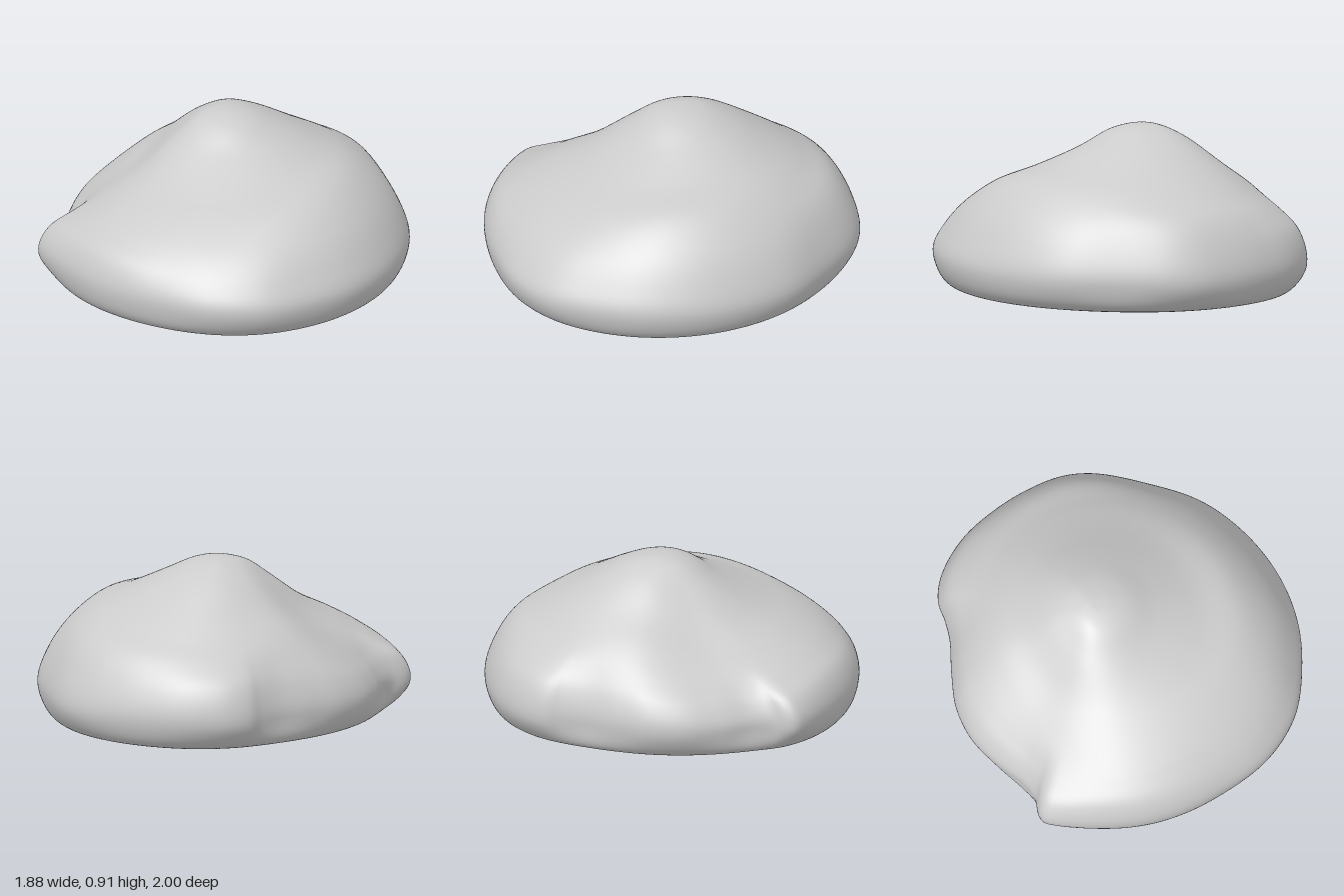
import * as THREE from 'three';

// Plan outline (x, z), running from +x towards +z
const OUTLINE = [
  [0.94, 0.08], [0.9, 0.35], [0.8, 0.6], [0.6, 0.8], [0.3, 0.935], [0.08, 0.99], [-0.12, 1], [-0.35, 0.965],
  [-0.58, 0.895], [-0.64, 0.86], [-0.655, 0.81], [-0.65, 0.73], [-0.69, 0.63], [-0.8, 0.49], [-0.9, 0.32],
  [-0.94, 0.13], [-0.92, -0.06], [-0.885, -0.25], [-0.885, -0.38], [-0.895, -0.47], [-0.85, -0.6],
  [-0.7, -0.77], [-0.5, -0.89], [-0.3, -0.965], [-0.1, -1], [0.08, -0.975], [0.35, -0.85], [0.6, -0.69],
  [0.78, -0.47], [0.9, -0.2],
];

// Height of the upper surface at each fraction of the radius, every 45 degrees
const FRACTIONS = [0.07, 0.16, 0.3, 0.5, 0.7, 0.85, 0.95, 1];
const HEIGHTS = [
  [0.905, 0.88, 0.805, 0.71, 0.64, 0.505, 0.35, 0.22],   // +x
  [0.903, 0.87, 0.77, 0.66, 0.56, 0.45, 0.33, 0.22],
  [0.903, 0.872, 0.775, 0.64, 0.54, 0.455, 0.375, 0.24], // +z
  [0.905, 0.88, 0.78, 0.61, 0.48, 0.38, 0.3, 0.21],
  [0.907, 0.885, 0.82, 0.69, 0.575, 0.46, 0.35, 0.22],   // -x
  [0.907, 0.89, 0.83, 0.71, 0.58, 0.475, 0.37, 0.22],
  [0.905, 0.885, 0.825, 0.715, 0.605, 0.51, 0.36, 0.21], // -z
  [0.905, 0.885, 0.825, 0.73, 0.635, 0.51, 0.36, 0.21],
];
// Rounded lower rim and nearly flat base: [fraction, height]
const BASE = [[0.98, 0.11], [0.935, 0.05], [0.86, 0.026], [0.6, 0.012], [0, 0]];
const PEAK = { x: -0.13, z: -0.04 };

// Periodic cubic blend between the eight height profiles
function heightAt(angle, k) {
  const t = ((angle / (Math.PI / 4)) % 8 + 8) % 8;
  const i = Math.floor(t), u = t - i;
  const [a, b, c, d] = [-1, 0, 1, 2].map((o) => HEIGHTS[(i + o + 8) % 8][k]);
  return b + 0.5 * u * (c - a + u * (2 * a - 5 * b + 4 * c - d + u * (3 * (b - c) + d - a)));
}

// Rim offsets from the peak, averaged over neighbours to drop the lip and notch
function soften(rim, reach, scale) {
  return rim.map((_, c) => {
    const sum = new THREE.Vector3();
    for (let o = -reach; o <= reach; o++) sum.add(rim[(c + o + rim.length) % rim.length]);
    return sum.multiplyScalar(scale / (2 * reach + 1));
  });
}

function buildBody() {
  const COLS = 240, ROWS = 80;
  const curve = new THREE.CatmullRomCurve3(
    OUTLINE.map(([x, z]) => new THREE.Vector3(x - PEAK.x, 0, z - PEAK.z)), true,
  );
  curve.arcLengthDivisions = 1000;
  const rim = curve.getSpacedPoints(COLS).slice(0, COLS);
  // Two passes keep the inner contours free of creases
  const softRim = soften(soften(rim, 12, 1.017), 12, 1.017);
  const columns = softRim.map((p) => {
    const angle = Math.atan2(p.z, p.x);
    const profile = [
      new THREE.Vector3(0, 0.91, 0),
      ...FRACTIONS.map((f, k) => new THREE.Vector3(f, heightAt(angle, k), 0)),
      ...BASE.map(([f, y]) => new THREE.Vector3(f, y, 0)),
    ];
    return new THREE.CatmullRomCurve3(profile).getPoints(ROWS);
  });

  // Rings from summit to base; the lip and notch appear only around the rim
  const position = [PEAK.x, 0.91, PEAK.z];
  for (let r = 1; r < ROWS; r++) {
    for (let c = 0; c < COLS; c++) {
      const q = columns[c][r];
      const detail = q.y > 0.2
        ? THREE.MathUtils.smoothstep(q.x, 0.7, 0.99)
        : THREE.MathUtils.smoothstep(q.y, 0, 0.18);
      const p = softRim[c].clone().lerp(rim[c], detail);
      position.push(PEAK.x + p.x * q.x, Math.max(q.y, 0), PEAK.z + p.z * q.x);
    }
  }
  const last = position.length / 3;
  position.push(PEAK.x, 0, PEAK.z);

  const at = (r, c) => 1 + (r - 1) * COLS + (c % COLS);
  const index = [];
  for (let c = 0; c < COLS; c++) {
    index.push(0, at(1, c + 1), at(1, c));
    for (let r = 1; r < ROWS - 1; r++) {
      index.push(at(r, c), at(r, c + 1), at(r + 1, c));
      index.push(at(r, c + 1), at(r + 1, c + 1), at(r + 1, c));
    }
    index.push(at(ROWS - 1, c), at(ROWS - 1, c + 1), last);
  }
  const geometry = new THREE.BufferGeometry();
  geometry.setAttribute('position', new THREE.Float32BufferAttribute(position, 3));
  geometry.setIndex(index);
  geometry.computeVertexNormals();
  return geometry;
}

export function createModel() {
  const group = new THREE.Group();
  group.name = 'boulder';
  const body = new THREE.Mesh(buildBody(), new THREE.MeshStandardMaterial({ color: 0xcccccc }));
  body.name = 'body';
  group.add(body);
  return group;
}
